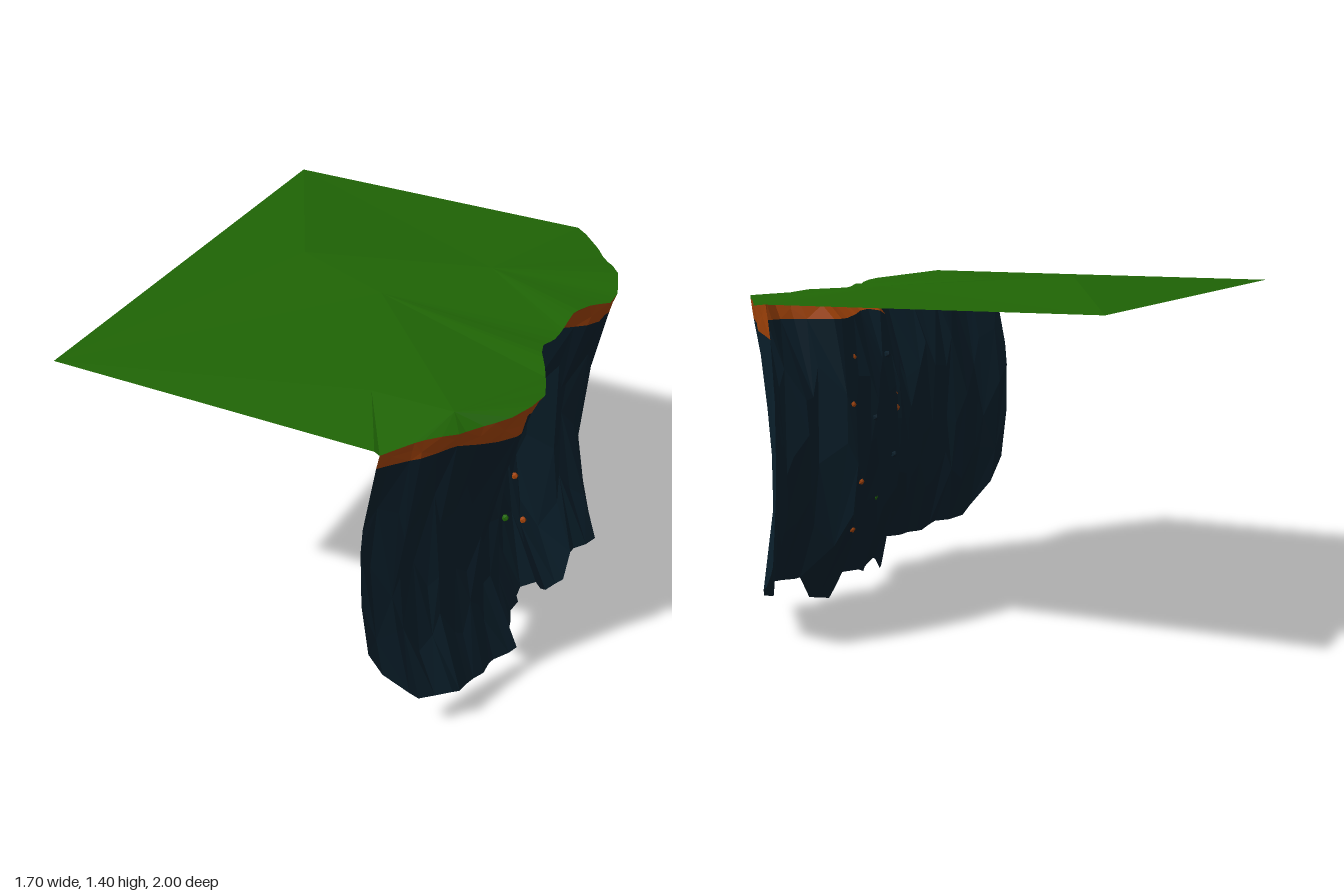
import * as THREE from 'three';

// Piecewise-linear lookup in a list of [z, value] pairs, z descending
function lookup(table, z) {
  for (let i = 1; i < table.length; i++) {
    const [z0, a] = table[i - 1], [z1, b] = table[i];
    if (z >= z1) return a + (b - a) * THREE.MathUtils.clamp((z0 - z) / (z0 - z1), 0, 1);
  }
  return table[table.length - 1][1];
}

// Cliff profiles along z: lip, mid height and foot (x), hollow under the lip, lower edge and soil edge (y)
const lipX = [[0.96, 0.49], [0.72, 0.68], [0.66, 0.70], [0.55, 0.80], [0.47, 0.84], [0.36, 0.85],
  [0.27, 0.82], [0.18, 0.78], [0.05, 0.71], [-0.05, 0.73], [-0.25, 0.73], [-0.36, 0.77], [-0.42, 0.82],
  [-0.52, 0.82], [-0.68, 0.76], [-0.76, 0.68], [-0.84, 0.63], [-0.92, 0.56], [-0.98, 0.48]];
const midX = [[0.97, 0.42], [0.8, 0.54], [0.6, 0.64], [0.43, 0.70], [0.38, 0.63], [0.3, 0.68],
  [0.2, 0.59], [0.1, 0.54], [-0.2, 0.53], [-0.27, 0.55], [-0.32, 0.62], [-0.5, 0.70],
  [-0.7, 0.62], [-0.85, 0.53], [-0.98, 0.43]];
const footX = [[0.97, 0.45], [0.9, 0.51], [0.82, 0.6], [0.72, 0.68], [0.65, 0.73], [0.5, 0.73],
  [0.35, 0.8], [0.22, 0.7], [0, 0.66], [-0.2, 0.72], [-0.34, 0.77], [-0.45, 0.83], [-0.65, 0.7],
  [-0.8, 0.62], [-0.9, 0.55], [-0.98, 0.46]];
const undercut = [[0.3, 0], [0.12, 0.1], [-0.22, 0.1], [-0.36, 0]];
const footY = [[0.96, 0.45], [0.92, 0.33], [0.88, 0.25], [0.82, 0.16], [0.73, 0.16], [0.66, 0.13],
  [0.35, 0.14], [0.3, 0.06], [0.21, 0.03], [0.16, 0.12], [0, 0.08], [-0.1, 0.12], [-0.15, 0.03],
  [-0.2, 0], [-0.28, 0.02], [-0.31, 0.12], [-0.65, 0.13], [-0.8, 0.17], [-0.9, 0.25], [-0.98, 0.35]];
const soilY = [[0.96, 1.26], [0.7, 1.25], [0.55, 1.21], [0.3, 1.21], [0.2, 1.18], [0.1, 1.2],
  [0, 1.235], [-0.2, 1.21], [-0.5, 1.22], [-0.7, 1.25], [-0.98, 1.2]];

const TOP = 1.32;
const COLS = 42;
const lipY = (z) => TOP + 0.01 * Math.sin(17 * z);

// Point on the rock face: a curve through lip, middle and foot, less the hollow, plus small ridges
function cliffPoint(z, y) {
  const top = lipY(z), m = 0.55;
  const s = (top - y) / (top - lookup(footY, z));
  const curve = lookup(lipX, z) * (s - m) * (s - 1) / m
    + lookup(midX, z) * s * (s - 1) / (m * (m - 1))
    + lookup(footX, z) * s * (s - m) / (1 - m);
  const hollow = lookup(undercut, z) * Math.min(1, s / 0.09) * Math.max(0, 1 - s / 0.5);
  const ridge = 0.012 * Math.sin(37 * z + 2.5 * y) + 0.01 * Math.sin(19 * z - 7 * y);
  const fade = Math.min(1, 10 * s) * Math.min(1, (1 - Math.abs(z)) * 6);
  return [curve - hollow + ridge * fade, y, z * (1 + 0.03 * Math.sin(Math.PI * y / TOP))];
}

function facets(points, index) {
  const g = new THREE.BufferGeometry();
  g.setAttribute('position', new THREE.Float32BufferAttribute(points.flat(), 3));
  g.setIndex(index);
  const flat = g.toNonIndexed();
  flat.computeVertexNormals();
  return flat;
}

const columnZ = Array.from({ length: COLS + 1 }, (_, i) =>
  0.96 - 1.94 * i / COLS + (i % COLS ? 0.01 * Math.sin(i * 2.4) : 0));

// Band of the cliff between two heights that vary along z
function cliffBand(rows, upper, lower) {
  const points = [], index = [];
  columnZ.forEach((z, i) => {
    for (let r = 0; r <= rows; r++) {
      const wobble = r > 0 && r < rows ? 0.3 * Math.sin(i * 1.9 + r * 2) : 0;
      points.push(cliffPoint(z, THREE.MathUtils.lerp(upper(z), lower(z), (r + wobble) / rows)));
      if (i < COLS && r < rows) {
        const a = i * (rows + 1) + r, b = a + rows + 1;
        if ((i + r) % 2) index.push(a, a + 1, b, b, a + 1, b + 1);
        else index.push(a, a + 1, b + 1, a, b + 1, b);
      }
    }
  });
  return facets(points, index);
}

// Gently humped ground, fanned from a few inner points to the cliff lip
function groundGeometry() {
  const points = columnZ.map((z) => cliffPoint(z, lipY(z)));
  const n = points.length;
  const [bump, fold, hollow, knoll, peak, frontLeft, backLeft, notch] = [0, 1, 2, 3, 4, 5, 6, 7].map((k) => n + k);
  points.push([0.63, 1.36, 0.66], [0.31, 1.36, 0.66], [0.03, 1.375, 0.01], [0.32, 1.365, -0.4],
    [-0.38, 1.405, -0.12], [-0.84, 1.34, 0.96], [-0.855, 1.34, -0.98], [0.47, 1.325, 0.96]);
  const index = [];
  const hubOf = (z) => (z > 0.25 ? bump : z > -0.1 ? hollow : knoll);
  for (let i = 0; i < COLS; i++) {
    const hub = hubOf(columnZ[i]), next = hubOf(columnZ[i + 1]);
    index.push(hub, i, i + 1);
    if (next !== hub) index.push(hub, i + 1, next);
  }
  index.push(0, bump, fold, notch, 0, fold, fold, bump, hollow, hollow, knoll, peak,
    frontLeft, notch, fold, frontLeft, fold, hollow, frontLeft, hollow, peak,
    frontLeft, peak, backLeft, backLeft, peak, knoll, backLeft, knoll, COLS);
  return facets(points, index);
}

export function createModel() {
  const group = new THREE.Group();
  const material = (name, color) => {
    const m = new THREE.MeshStandardMaterial({ color, side: THREE.DoubleSide, flatShading: true });
    m.name = name;
    return m;
  };
  const grass = material('grass green', 0x1f6405);
  const soil = material('soil orange', 0xa04208);
  const rock = material('rock navy', 0x0a1f2b);

  const add = (name, geometry, mat) => {
    const mesh = new THREE.Mesh(geometry, mat);
    mesh.name = name;
    group.add(mesh);
    return mesh;
  };

  add('grassTop', groundGeometry(), grass);
  add('soilBand', cliffBand(2, lipY, (z) => lookup(soilY, z)), soil);
  add('rockFace', cliffBand(4, (z) => lookup(soilY, z), (z) => lookup(footY, z)), rock);

  // Small pebbles set in the rock face, as [z, y]
  const pebble = new THREE.IcosahedronGeometry(0.016, 0);
  const sets = [
    ['orangePebble', soil, [[0.11, 0.86], [0.22, 0.78], [-0.2, 1.05], [-0.25, 0.86], [-0.21, 0.53], [-0.21, 0.32]]],
    ['greenPebble', grass, [[0.26, 0.53], [-0.05, 0.43]]],
    ['darkPebble', rock, [[0.03, 1.04], [-0.12, 0.79], [0.07, 0.6], [0.13, 0.38]]],
  ];
  for (const [name, mat, spots] of sets) {
    for (const [z, y] of spots) {
      const [x, py, pz] = cliffPoint(z, y);
      add(name, pebble, mat).position.set(x + 0.012, py, pz);
    }
  }
  return group;
}
